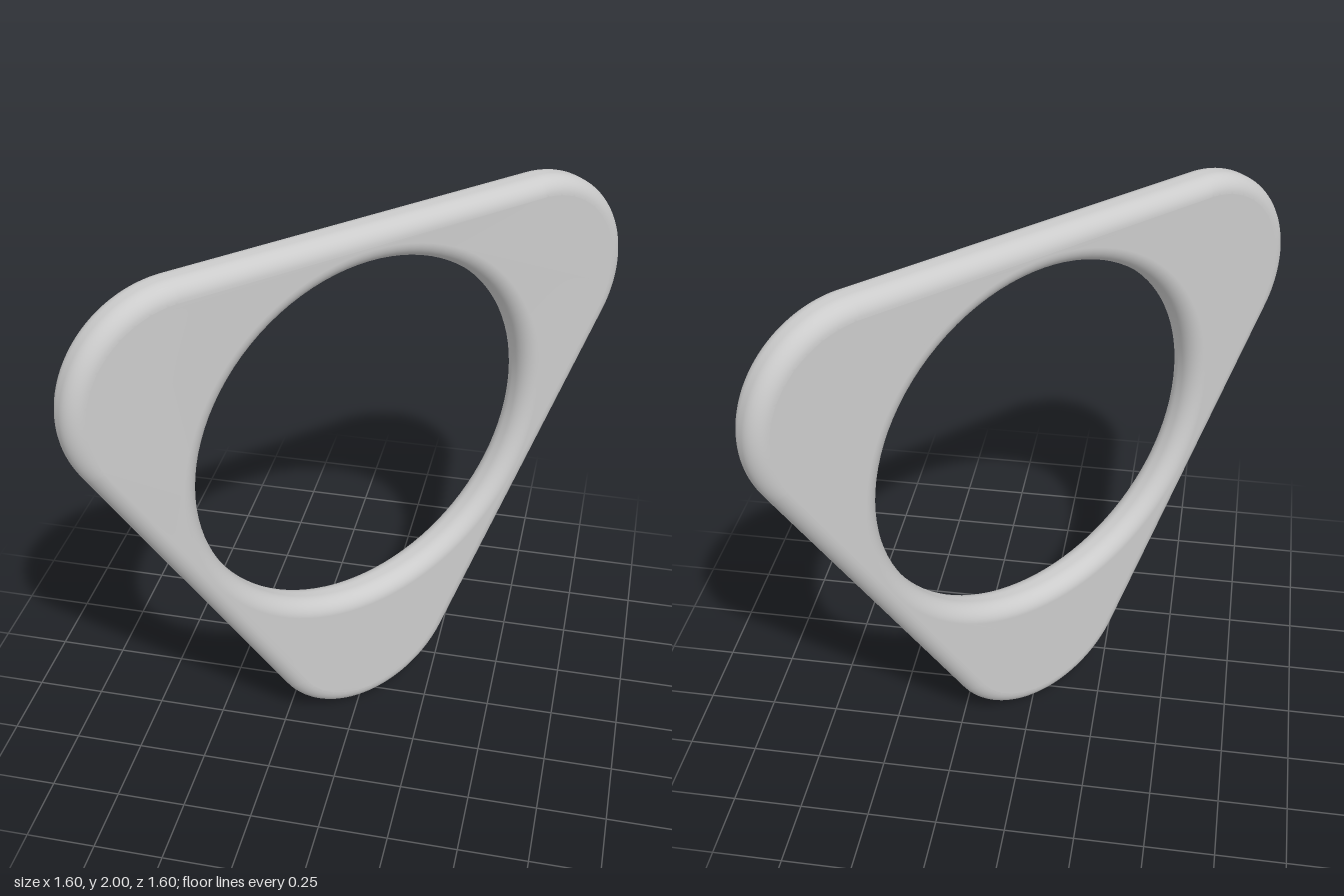
import * as THREE from 'three';
import { mergeVertices } from 'three/addons/utils/BufferGeometryUtils.js';

const CENTRE_Y = 1.2;      // height of the ring's centre
const CORNER_DIST = 0.8;   // centre to each corner arc
const CORNER_R = 0.4;
const HOLE_R = 0.67;
const HALF_THICK = 0.072;
const ROUND = 0.06;        // edge rounding radius

export function createModel() {
  const group = new THREE.Group();

  // Rounded triangle pointing down, inset by the rounding radius
  const outline = new THREE.Shape();
  for (let i = 0; i < 3; i++) {
    const a = -Math.PI / 2 + i * Math.PI * 2 / 3;
    outline.absarc(
      Math.cos(a) * CORNER_DIST, Math.sin(a) * CORNER_DIST,
      CORNER_R - ROUND, a - Math.PI / 3, a + Math.PI / 3, false
    );
  }

  // Round opening
  const hole = new THREE.Path();
  hole.absarc(0, 0, HOLE_R + ROUND, 0, Math.PI * 2, true);
  outline.holes.push(hole);

  const depth = 2 * (HALF_THICK - ROUND);
  let geometry = new THREE.ExtrudeGeometry(outline, {
    depth, curveSegments: 48,
    bevelEnabled: true, bevelSize: ROUND, bevelThickness: ROUND, bevelSegments: 10,
  });
  geometry.translate(0, 0, -depth / 2);

  // Weld the vertices so the rounded edges shade smoothly
  geometry.deleteAttribute('uv');
  geometry.deleteAttribute('normal');
  geometry = mergeVertices(geometry, 1e-4);
  geometry.computeVertexNormals();

  // Plate stands diagonally
  const plate = new THREE.Mesh(geometry, new THREE.MeshStandardMaterial({ color: 0xcccccc }));
  plate.name = 'roundedTriangleRing';
  plate.position.y = CENTRE_Y;
  plate.rotation.y = Math.PI / 4;
  group.add(plate);
  return group;
}
